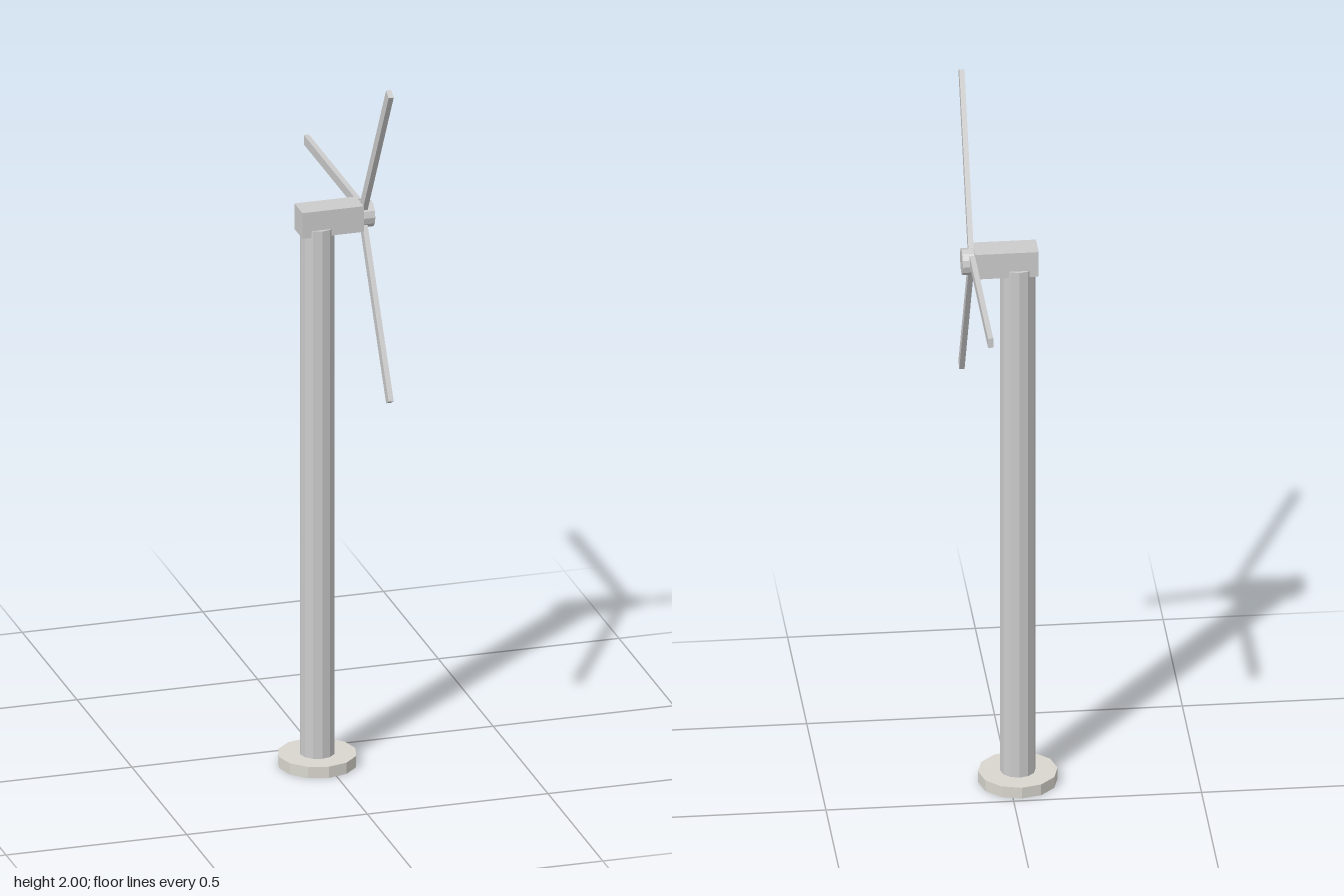
import * as THREE from 'three';

export function createModel() {
  const model = new THREE.Group();
  const grey = new THREE.MeshStandardMaterial({ color: 0xcccccc, flatShading: true });
  const stone = new THREE.MeshStandardMaterial({ color: 0xd8d6ce, flatShading: true });

  const add = (name, geometry, material, x, y, z, parent = model) => {
    const mesh = new THREE.Mesh(geometry, material);
    mesh.name = name;
    mesh.position.set(x, y, z);
    parent.add(mesh);
    return mesh;
  };

  const towerX = -0.023, axisZ = 0.119, hubY = 1.555;

  // Twelve-sided foundation and tower
  add('foundation', new THREE.CylinderGeometry(0.106, 0.106, 0.032, 12), stone, towerX, 0.016, axisZ);
  add('tower', new THREE.CylinderGeometry(0.047, 0.047, 1.505, 12), grey, towerX, 0.7845, axisZ);

  // Nacelle box on top of the tower, pointing to +x
  add('nacelle', new THREE.BoxGeometry(0.17, 0.073, 0.073), grey, 0.01, hubY, axisZ);

  // Rotor: hub and three flat blades turning about the x axis
  const rotor = new THREE.Group();
  rotor.name = 'rotor';
  rotor.position.set(0.101, hubY, axisZ);
  model.add(rotor);
  add('hub', new THREE.CylinderGeometry(0.036, 0.036, 0.032, 12), grey, 0.01, 0, 0, rotor)
    .rotation.z = -Math.PI / 2;

  const root = 0.03, tip = 0.508;
  const blade = new THREE.BoxGeometry(0.014, tip - root, 0.027).translate(0, (root + tip) / 2, 0);
  [30, 150, 270].forEach((degrees) => {
    // The level blade sits slightly above the hub axis
    const lift = degrees === 270 ? 0.017 : 0;
    add('blade', blade, grey, 0, lift, 0, rotor).rotation.x = THREE.MathUtils.degToRad(degrees);
  });

  return model;
}
